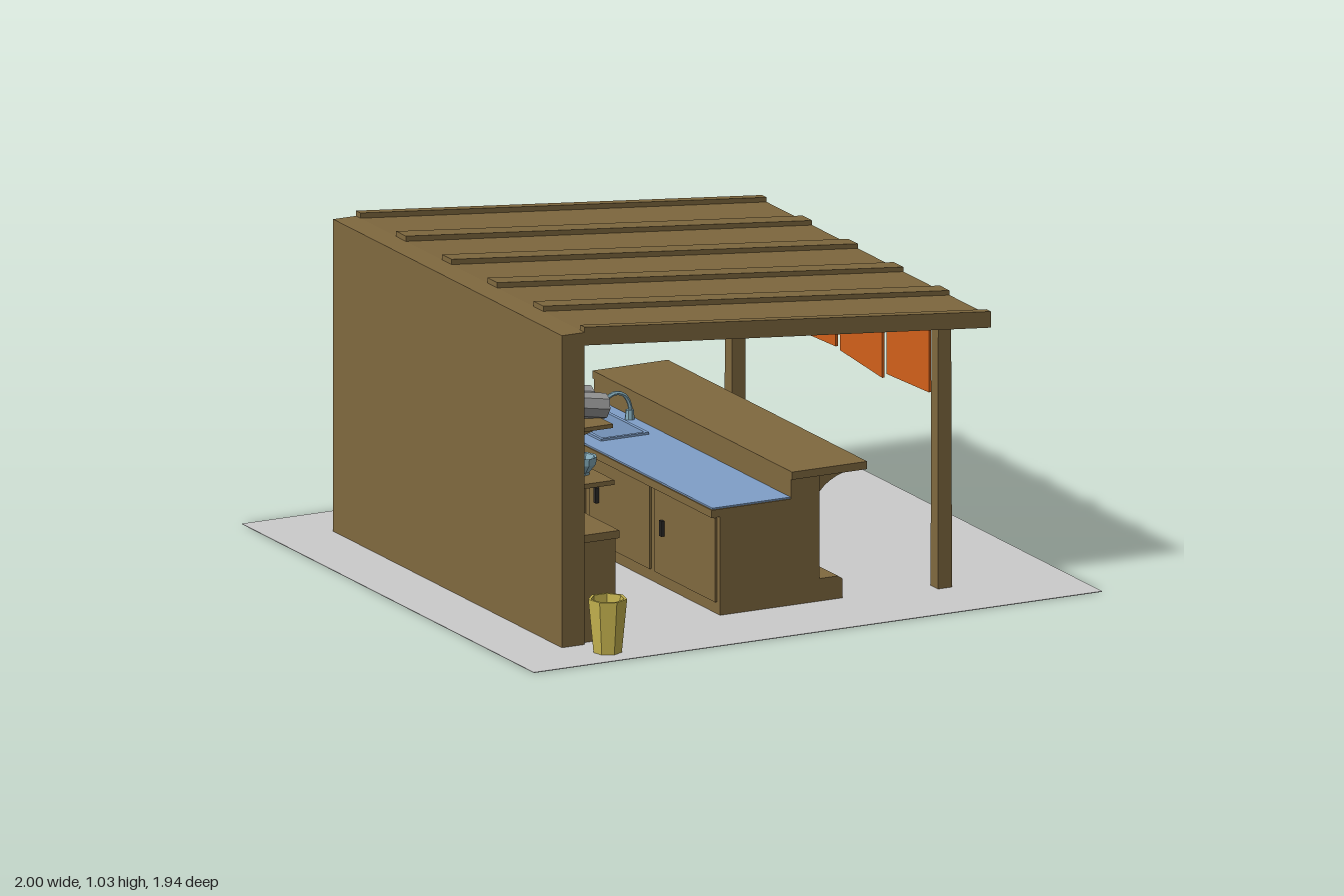
import * as THREE from 'three';

const mats = {};
function mat(color) {
  return mats[color] ??= new THREE.MeshStandardMaterial({ color, flatShading: true, side: THREE.DoubleSide });
}
const WOOD = 0x80693f, GREY = 0xcccccc, STEEL = 0x9a9a9a, BLUE = 0x7f9fc8, TEAL = 0x74aaa6, GLAZE = 0x86aebd,
  PINK = 0xd3b6cf, RED = 0xd9785c, ORANGE = 0xd2601a, YELLOW = 0xc8b650, DARK = 0x2c2a28;

export function createModel() {
  const root = new THREE.Group();

  function add(name, geo, color, x = 0, y = 0, z = 0) {
    const m = new THREE.Mesh(geo, mat(color));
    m.name = name;
    m.position.set(x, y, z);
    root.add(m);
    return m;
  }
  // Box given by its limits on each axis
  const box = (name, color, x0, x1, y0, y1, z0, z1) =>
    add(name, new THREE.BoxGeometry(x1 - x0, y1 - y0, z1 - z0), color, (x0 + x1) / 2, (y0 + y1) / 2, (z0 + z1) / 2);
  // Side profile in x and y, extruded along z
  function profile(name, color, pts, z0, z1) {
    const shape = new THREE.Shape(pts.map(p => new THREE.Vector2(...p)));
    return add(name, new THREE.ExtrudeGeometry(shape, { depth: z1 - z0, bevelEnabled: false }), color, 0, 0, z0);
  }
  // Horizontal slab with a rectangular hole: [x0, x1, z0, z1]
  function frame(name, color, [x0, x1, z0, z1], [a0, a1, b0, b1], y0, y1) {
    const rect = (l, r, n, f) => [[l, -n], [l, -f], [r, -f], [r, -n]].map(p => new THREE.Vector2(...p));
    const shape = new THREE.Shape(rect(x0, x1, z0, z1));
    shape.holes.push(new THREE.Path(rect(a0, a1, b0, b1)));
    const geo = new THREE.ExtrudeGeometry(shape, { depth: y1 - y0, bevelEnabled: false });
    geo.rotateX(-Math.PI / 2);
    return add(name, geo, color, 0, y0, 0);
  }
  const lathe = (name, color, pts, sides, x, y, z) =>
    add(name, new THREE.LatheGeometry(pts.map(p => new THREE.Vector2(...p)), sides), color, x, y, z);
  const tube = (name, color, pts, r) =>
    add(name, new THREE.TubeGeometry(new THREE.CatmullRomCurve3(pts.map(p => new THREE.Vector3(...p))), 12, r, 6), color);

  // Ground and back wall
  box('ground', GREY, -1, 1, 0, 0.002, -0.97, 0.97);
  box('backWall', WOOD, -0.79, -0.71, 0, 1.01, -0.76, 0.76);

  // Sloping roof with battens
  profile('roof', WOOD, [[-0.71, 0.968], [0.72, 0.838], [0.72, 0.875], [-0.71, 1.01]], -0.76, 0.76);
  for (const z of [-0.745, -0.46, -0.157, 0.147, 0.453, 0.745]) {
    const w = Math.abs(z) > 0.7 ? 0.015 : 0.032;
    profile('roofBatten', WOOD, [[-0.71, 1.008], [0.72, 0.873], [0.72, 0.89], [-0.71, 1.027]], z - w, z + w);
  }

  // Front posts and the curtain rail
  for (const z of [-0.685, 0.685]) {
    const post = add('post', new THREE.CylinderGeometry(0.032, 0.035, 0.85, 4, 1, false, Math.PI / 4), WOOD, 0.585, 0.425, z);
    post.geometry.rotateY(0);
  }
  box('curtainRail', ORANGE, 0.565, 0.605, 0.842, 0.857, -0.66, 0.66);

  // Four cloth panels, each hanging a little unevenly
  [[0.33, 0.61, 0.60, 0.61], [0.02, 0.30, 0.60, 0.58], [-0.29, -0.01, 0.595, 0.605], [-0.60, -0.33, 0.615, 0.60]].forEach(([z0, z1, yA, yB]) => {
    const geo = new THREE.BoxGeometry(0.008, 1, z1 - z0);
    const p = geo.attributes.position;
    for (let i = 0; i < p.count; i++) {
      const low = p.getZ(i) < 0 ? yA : yB;
      p.setY(i, p.getY(i) > 0 ? 0.85 : low);
    }
    geo.computeVertexNormals();
    add('curtainPanel', geo, ORANGE, 0.585, 0, (z0 + z1) / 2);
  });

  // Serving counter: base, sink surround, raised bar and foot rest
  const sink = [-0.15, 0.02, -0.56, -0.19];
  box('counterBase', WOOD, -0.18, 0.17, 0, 0.25, -0.65, 0.66);
  frame('counterUpper', WOOD, [-0.18, 0.17, -0.65, 0.66], sink, 0.25, 0.32);
  frame('worktopEdge', WOOD, [-0.21, 0.07, -0.65, 0.66], sink, 0.32, 0.345);
  frame('worktop', BLUE, [-0.205, 0.07, -0.645, 0.655], sink, 0.345, 0.35);
  box('barWall', WOOD, 0.07, 0.17, 0.32, 0.41, -0.65, 0.66);
  box('barTop', WOOD, 0.07, 0.335, 0.408, 0.433, -0.66, 0.665);
  profile('footRest', WOOD, [[0.17, 0], [0.25, 0], [0.25, 0.065], [0.235, 0.075], [0.17, 0.075]], -0.65, 0.66);
  for (const z of [-0.63, 0, 0.63]) {
    const s = new THREE.Shape();
    s.moveTo(0.17, 0.408);
    s.lineTo(0.17, 0.33);
    s.quadraticCurveTo(0.20, 0.39, 0.30, 0.408);
    add('barBracket', new THREE.ExtrudeGeometry(s, { depth: 0.014, bevelEnabled: false, curveSegments: 6 }), WOOD, 0, 0, z - 0.007);
  }

  // Cupboard doors and handles on the cook's side
  for (let i = 0; i < 3; i++) {
    const z = -0.43 + i * 0.435;
    box('counterDoor', WOOD, -0.188, -0.18, 0.04, 0.31, z - 0.2, z + 0.2);
    box('doorHandle', DARK, -0.2, -0.188, 0.17, 0.22, z - 0.15, z - 0.135);
  }

  // Sink basin, rim, drain and tap
  const [sx0, sx1, sz0, sz1] = sink;
  box('sinkFloor', BLUE, sx0, sx1, 0.25, 0.262, sz0, sz1);
  frame('sinkLiner', BLUE, sink, [sx0 + 0.012, sx1 - 0.012, sz0 + 0.012, sz1 - 0.012], 0.255, 0.357);
  add('sinkDrain', new THREE.CylinderGeometry(0.02, 0.02, 0.006, 8), STEEL, -0.065, 0.264, -0.375);
  tube('tap', GLAZE, [[0.05, 0.35, -0.375], [0.05, 0.395, -0.375], [0.03, 0.43, -0.375], [0, 0.44, -0.375], [-0.028, 0.43, -0.375]], 0.007);
  add('tapBase', new THREE.CylinderGeometry(0.013, 0.016, 0.03, 8), GLAZE, 0.05, 0.365, -0.375);

  // Open shelf cabinet along the wall
  box('cabinetTop', WOOD, -0.71, -0.58, 0.325, 0.35, 0.25, 0.745);
  box('cabinetBase', WOOD, -0.71, -0.59, 0, 0.07, 0.25, 0.74);
  box('cabinetShelf', WOOD, -0.71, -0.6, 0.185, 0.2, 0.25, 0.74);
  for (const z of [0.25, 0.71]) box('cabinetSide', WOOD, -0.71, -0.59, 0.07, 0.325, z, z + 0.03);

  // Cooking unit with a recessed hob and a splash rail
  box('cookerBody', WOOD, -0.71, -0.545, 0, 0.345, -0.3, 0.25);
  box('cookerFront', WOOD, -0.545, -0.525, 0.08, 0.345, -0.28, 0.23);
  box('hobPlate', TEAL, -0.71, -0.525, 0.345, 0.352, -0.3, 0.25);
  frame('hobRim', TEAL, [-0.71, -0.52, -0.3, 0.25], [-0.67, -0.54, -0.27, 0.22], 0.35, 0.368);
  box('hobSplash', TEAL, -0.71, -0.685, 0.368, 0.39, -0.3, 0.25);

  // Cold cabinet with a pale door
  box('coldCabinet', WOOD, -0.71, -0.545, 0, 0.35, -0.76, -0.3);
  box('coldDoorFrame', WOOD, -0.545, -0.53, 0.03, 0.345, -0.755, -0.31);
  box('coldDoorPanel', PINK, -0.53, -0.52, 0.05, 0.325, -0.735, -0.43);

  // Wall shelves with brackets
  box('lowerShelf', WOOD, -0.71, -0.595, 0.498, 0.513, 0.08, 0.74);
  box('upperShelf', WOOD, -0.71, -0.6, 0.682, 0.695, 0.29, 0.74);
  for (const z of [0.33, 0.7])
    profile('shelfBracket', WOOD, [[-0.71, 0.655], [-0.62, 0.682], [-0.71, 0.682]], z - 0.01, z + 0.01);

  // Stacked dishes leaning on the upper shelf
  for (let i = 0; i < 4; i++) {
    const d = add('stackedDish', new THREE.CylinderGeometry(0.042, 0.042, 0.12, 8), STEEL, -0.64, 0.737, 0.345 + i * 0.1);
    d.rotation.z = Math.PI / 2 - 0.17;
  }

  // Bowls and cups on the lower shelf
  const bowl = [[0, 0], [0.024, 0], [0.024, 0.008], [0.045, 0.035], [0.048, 0.058], [0.041, 0.056], [0.03, 0.02], [0, 0.014]];
  [[0.63, GLAZE], [0.53, RED], [0.42, YELLOW]].forEach(([z, c]) => lathe('bowl', c, bowl, 8, -0.65, 0.513, z));
  const cup = [[0, 0], [0.022, 0], [0.016, 0.07], [0.012, 0.07], [0.016, 0.008], [0, 0.008]];
  for (const z of [0.165, 0.225, 0.285]) lathe('cup', GLAZE, cup, 8, -0.65, 0.513, z);

  // Utensils hanging from a wall rail
  box('utensilRail', DARK, -0.71, -0.685, 0.66, 0.67, -0.64, -0.52);
  [[-0.545, GLAZE, 0.2], [-0.58, DARK, -0.15], [-0.61, RED, 0.25]].forEach(([z, c, tilt]) => {
    const g = new THREE.Group();
    g.name = 'utensil';
    const handle = new THREE.Mesh(new THREE.BoxGeometry(0.01, 0.07, 0.01), mat(DARK));
    const head = new THREE.Mesh(new THREE.BoxGeometry(0.01, 0.04, 0.024), mat(c));
    handle.name = 'utensilHandle';
    head.name = 'utensilHead';
    handle.position.y = -0.035;
    head.position.y = -0.085;
    g.add(handle, head);
    g.position.set(-0.69, 0.675, z);
    g.rotation.x = tilt;
    root.add(g);
  });

  // Paper lantern on a hook
  lathe('lantern', RED, [[0, 0.63], [0.055, 0.63], [0.07, 0.65], [0.07, 0.795], [0.055, 0.815], [0.03, 0.82],
    [0.03, 0.85], [0.018, 0.875], [0, 0.875]], 8, -0.16, 0, -0.705);
  tube('lanternHook', DARK, [[-0.16, 0.87, -0.705], [-0.165, 0.885, -0.705], [-0.18, 0.895, -0.705], [-0.18, 0.92, -0.705]], 0.005);

  // Hollow bucket
  lathe('bucket', YELLOW, [[0, 0], [0.045, 0], [0.062, 0.175], [0.053, 0.175], [0.038, 0.012], [0, 0.012]], 7, -0.685, 0, 0.865);

  return root;
}
